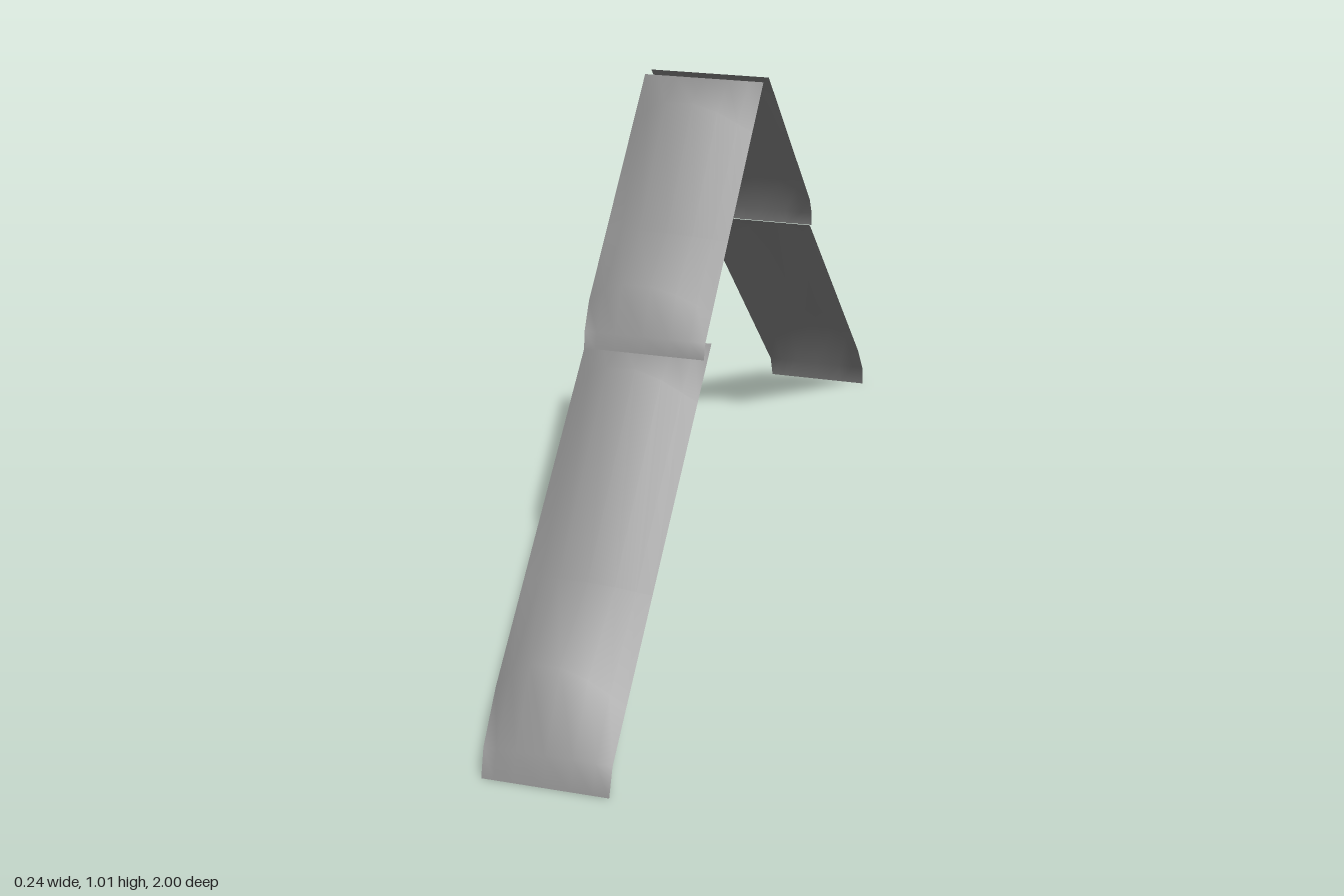
import * as THREE from 'three';

const material = new THREE.MeshStandardMaterial({ color: 0x888888, side: THREE.DoubleSide });

// Shape of the swelling across a strip, from the -x edge to the +x edge
const SWELL = [[-0.12, 0], [-0.09, 0.6], [-0.055, 0.95], [0, 1], [0.05, 0.7], [0.09, 0.3], [0.12, 0]];

// One strip: straight side edges, a middle that swells up to the given
// [z, y] profile, and a turned-down lip below the first profile point
function strip(name, lip, profile) {
  const [z0, y0] = profile[0];
  const [z1, y1] = profile[profile.length - 1];
  // Each row is [z, edge height, middle height, inset of the -x edge]
  const rows = profile.map(([z, y], i) => [
    z,
    y0 + (y1 - y0) * (z - z0) / (z1 - z0),
    y,
    i === 0 ? 0.006 : 0,
  ]);
  rows.unshift([lip[0], lip[1], lip[1], 0.008]);

  const pos = [], index = [];
  for (const [z, edge, middle, inset] of rows) {
    SWELL.forEach(([x, h], c) => {
      pos.push(c === 0 ? x + inset : x, edge + (middle - edge) * h, z);
    });
  }
  const n = SWELL.length;
  for (let r = 0; r < rows.length - 1; r++) {
    for (let c = 0; c < n - 1; c++) {
      const a = r * n + c, b = a + 1, d = a + n, e = d + 1;
      index.push(a, b, d, b, e, d);
    }
  }
  const geo = new THREE.BufferGeometry();
  geo.setAttribute('position', new THREE.Float32BufferAttribute(pos, 3));
  geo.setIndex(index);
  geo.computeVertexNormals();
  const mesh = new THREE.Mesh(geo, material);
  mesh.name = name;
  return mesh;
}

// One slope: a lower strip tucked under an upper strip
function slope(name) {
  const group = new THREE.Group();
  group.name = name;
  group.add(strip('lowerStrip', [1.0, 0],
    [[0.98, 0.05], [0.9, 0.18], [0.75, 0.27], [0.47, 0.57], [0.38, 0.6]]));
  group.add(strip('upperStrip', [0.43, 0.585],
    [[0.42, 0.615], [0.375, 0.7], [0.27, 0.77], [0.1, 0.98], [0.02, 1.01]]));
  return group;
}

export function createModel() {
  const model = new THREE.Group();
  model.name = 'pitchedRoofStrips';
  const front = slope('frontSlope');
  // The rear slope is the front one turned half way round
  const back = slope('backSlope');
  back.rotation.y = Math.PI;
  model.add(front, back);
  return model;
}
